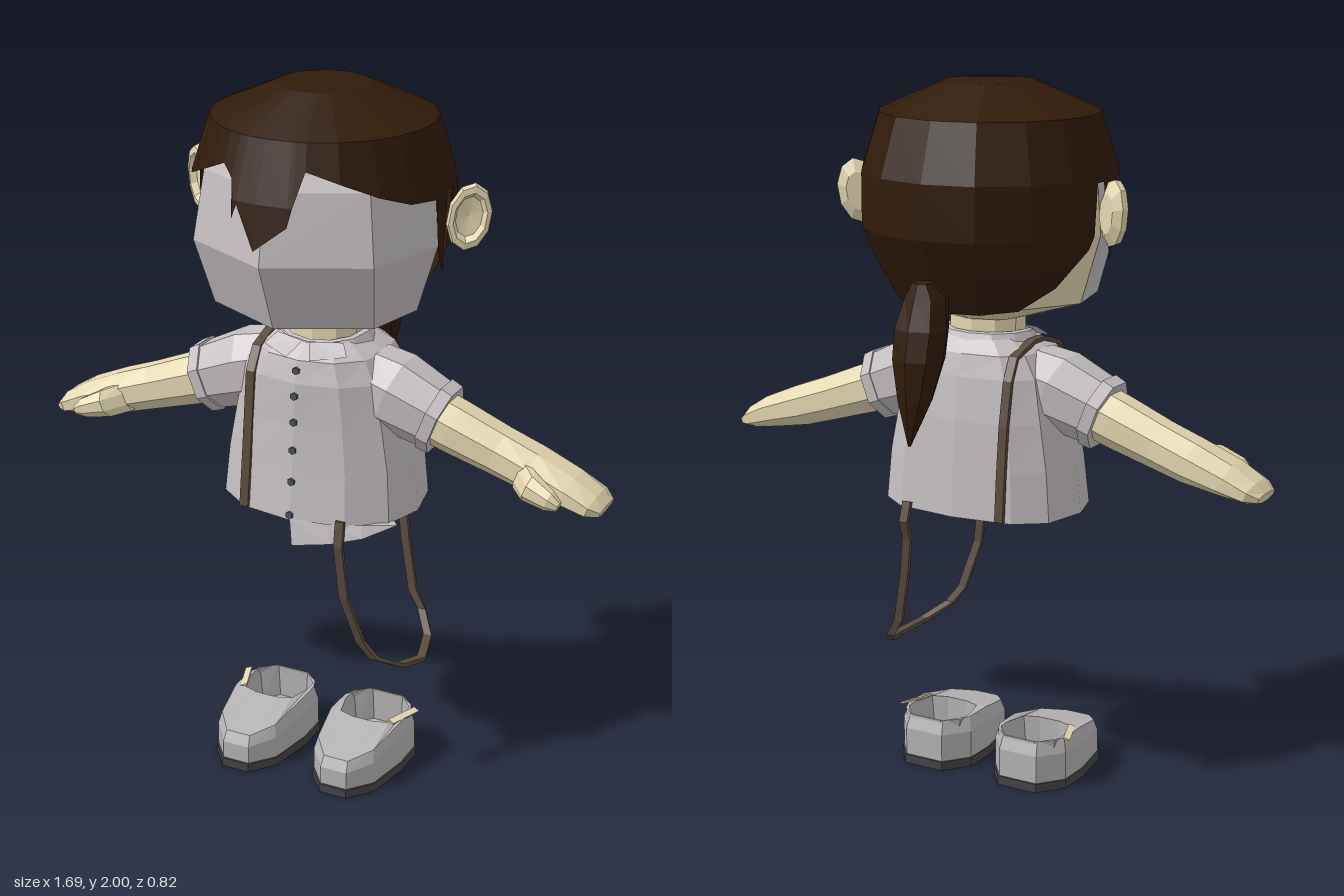
import * as THREE from 'three';

const material = (name, color, side = THREE.FrontSide) => {
  const m = new THREE.MeshStandardMaterial({ color, flatShading: true, side });
  m.name = name;
  return m;
};
const skin = material('skin', 0xe4d7b0);
const cloth = material('pale grey', 0xc4bec0, THREE.DoubleSide);
const hairBrown = material('hair brown', 0x301b09, THREE.DoubleSide);
const strapBrown = material('strap brown', 0x594a3c);
const shoeGrey = material('shoe grey', 0xb6b3b4, THREE.DoubleSide);
const soleDark = material('sole dark', 0x454547);
const buttonDark = material('button dark', 0x4a5062);

// Skin a surface over cross-sections; the winding is turned so faces look outward
function loft(name, mat, rings, { closed = true, capA = false, capB = false } = {}) {
  const n = rings[0].length, pos = rings.flat(2);
  let tris = [];
  for (let i = 0; i < rings.length - 1; i++)
    for (let j = 0; j < (closed ? n : n - 1); j++) {
      const a = i * n + j, b = i * n + (j + 1) % n;
      tris.push([a, b, b + n], [a, b + n, a + n]);
    }
  const cap = (row, flip) => {
    const mid = [0, 1, 2].map(k => rings[row].reduce((s, p) => s + p[k], 0) / n);
    const c = pos.length / 3;
    pos.push(...mid);
    for (let j = 0; j < n; j++) {
      const a = row * n + j, b = row * n + (j + 1) % n;
      tris.push(flip ? [c, b, a] : [c, a, b]);
    }
  };
  if (capA) cap(0, true);
  if (capB) cap(rings.length - 1, false);
  const v = i => new THREE.Vector3().fromArray(pos, i * 3);
  const centre = new THREE.Vector3();
  for (let i = 0; i < pos.length / 3; i++) centre.add(v(i));
  centre.divideScalar(pos.length / 3);
  let volume = 0;
  for (const [a, b, c] of tris)
    volume += v(a).sub(centre).dot(v(b).sub(centre).cross(v(c).sub(centre)));
  if (volume < 0) tris = tris.map(([a, b, c]) => [a, c, b]);
  const geo = new THREE.BufferGeometry();
  geo.setAttribute('position', new THREE.Float32BufferAttribute(pos, 3));
  geo.setIndex(tris.flat());
  geo.computeVertexNormals();
  const mesh = new THREE.Mesh(geo, mat);
  mesh.name = name;
  return mesh;
}

// Piecewise linear lookup; the table is sorted by its first column
function lerpTable(table, t, col = 1) {
  if (t <= table[0][0]) return table[0][col];
  for (let i = 1; i < table.length; i++) {
    const a = table[i - 1], b = table[i];
    if (t <= b[0]) return a[col] + (b[col] - a[col]) * (t - a[0]) / (b[0] - a[0]);
  }
  return table[table.length - 1][col];
}
const rad = THREE.MathUtils.degToRad;
const range = n => Array.from({ length: n }, (_, i) => i);

// Torso sections: height, half width, front z, back z
const TORSO = [[0.81, 0.29, 0.25, -0.18], [0.95, 0.277, 0.232, -0.17], [1.08, 0.252, 0.22, -0.16],
  [1.2, 0.225, 0.213, -0.143], [1.262, 0.185, 0.195, -0.128], [1.298, 0.12, 0.145, -0.09]];
// The back is squarer than the front
const bulge = (v, front) => Math.sign(v) * Math.abs(v) ** (front ? 0.9 : 0.7);
const torsoPoint = (y, angle) => {
  const [w, f, b] = [1, 2, 3].map(c => lerpTable(TORSO, y, c));
  const front = Math.cos(angle) > -1e-6;
  return [w * bulge(Math.sin(angle), front), y, (f + b) / 2 + (f - b) / 2 * bulge(Math.cos(angle), front)];
};

function head() {
  const g = new THREE.Group();
  g.name = 'head';
  // height, front z, cheek x, cheek z, side x, rear x, rear z, back z
  const rows = [[1.35, 0.12, 0.1, 0.09, 0.12, 0.09, -0.05, -0.08], [1.4, 0.335, 0.238, 0.218, 0.28, 0.185, -0.12, -0.2],
    [1.59, 0.41, 0.265, 0.28, 0.338, 0.23, -0.17, -0.28], [1.78, 0.373, 0.242, 0.255, 0.325, 0.22, -0.16, -0.26],
    [1.87, 0.325, 0.205, 0.21, 0.26, 0.18, -0.13, -0.21]];
  g.add(loft('face', cloth, rows.map(([y, f, cx, cz, s]) =>
    [[-s, y, 0.04], [-cx, y, cz], [0, y, f], [cx, y, cz], [s, y, 0.04]]), { closed: false }));
  g.add(loft('backOfHead', skin, rows.map(([y, , , , s, rx, rz, b]) =>
    [[s, y, 0.04], [rx, y, rz], [0, y, b], [-rx, y, rz], [-s, y, 0.04]]), { closed: false }));
  const neck = new THREE.Mesh(new THREE.CylinderGeometry(0.11, 0.11, 0.14, 10), skin);
  neck.name = 'neck';
  neck.position.set(0, 1.3, 0.02);
  neck.scale.z = 0.82;
  g.add(neck);
  // Dished ears
  const profile = [[0, -0.018], [0.6, -0.018], [1, 0], [0.95, 0.018], [0.75, 0.02], [0.6, 0.002], [0, -0.004]]
    .map(([r, h]) => new THREE.Vector2(r * 0.06, h));
  for (const s of [1, -1]) {
    const ear = new THREE.Mesh(new THREE.LatheGeometry(profile, 10).rotateX(Math.PI / 2).scale(1, 1.55, 1), skin);
    ear.name = s > 0 ? 'leftEar' : 'rightEar';
    ear.position.set(s * 0.4, 1.664, -0.016);
    ear.rotation.set(0, s * rad(34), -s * rad(10), 'YXZ');
    g.add(ear);
  }
  return g;
}

function hair() {
  const g = new THREE.Group();
  g.name = 'hair';
  // Hairline: angle from the front, height of the lower edge
  const side = [[33, 1.81], [50, 1.77], [65, 1.74], [81, 1.73], [82, 1.58], [86, 1.525], [91, 1.74], [96, 1.74],
    [98, 1.56], [112, 1.46], [132, 1.4], [156, 1.39]];
  const line = [...side.map(([a, y]) => [-a, y]).reverse(), [-25, 1.83], [-18, 1.8], [-15, 1.7], [-13, 1.74],
    [-3, 1.63], [11, 1.7], [13, 1.75], [18, 1.84], ...side, [180, 1.39]];
  const shape = [[1.39, 0.25], [1.5, 0.31], [1.6, 0.355], [1.75, 0.355], [1.91, 0.305], [1.99, 0.125], [2, 0]];
  const point = (deg, y) => {
    const c = Math.cos(rad(deg));
    const r = Math.abs(deg) < 97 && y < 1.75
      ? 0.355 + (1.75 - y) / 0.15 * 0.025 * Math.max(c, 0) : lerpTable(shape, y);
    return [r * Math.sin(rad(deg)), y, 0.03 + r * c];
  };
  g.add(loft('hairCap', hairBrown, [2, 1.99, 1.91, 1.75, 1.6, 1.5, 1.39].map(row =>
    line.map(([deg, low]) => point(deg, Math.max(row, low))))));
  // Ponytail: height, centre z, half width, half depth
  const tail = [[1.49, -0.315, 0.03, 0.03], [1.45, -0.3, 0.058, 0.062], [1.37, -0.325, 0.078, 0.068],
    [1.29, -0.34, 0.074, 0.07], [1.18, -0.36, 0.048, 0.047], [1.06, -0.39, 0.004, 0.004]];
  g.add(loft('ponytail', hairBrown, tail.map(([y, z, w, d]) => range(8).map(i => {
    const a = i * Math.PI / 4;
    return [w * Math.sin(a), y, z + d * Math.cos(a)];
  })), { capA: true, capB: true }));
  return g;
}

function shirt() {
  const g = new THREE.Group();
  g.name = 'shirt';
  g.add(loft('torso', cloth, TORSO.map(([y]) => range(12).map(i => torsoPoint(y, i * Math.PI / 6)))));
  // Loose front hem
  const angles = [0, 20, 40, 65].map(rad), drop = [0.74, 0.762, 0.782, 0.808];
  g.add(loft('hemFlap', cloth, [angles.map(a => torsoPoint(0.815, a)), angles.map((a, i) => {
    const [x, , z] = torsoPoint(0.81, a);
    return [x + 0.012, drop[i], z + 0.012];
  })], { closed: false }));
  // Collar band and two points
  g.add(loft('collar', cloth, [[1.315, 0.115, 0.1], [1.312, 0.13, 0.112], [1.277, 0.148, 0.128]].map(([y, w, d]) =>
    range(12).map(i => {
      const a = i * Math.PI / 6;
      return [w * Math.sin(a), y - 0.015 * Math.max(0, Math.cos(a)), 0.025 + d * Math.cos(a)];
    }))));
  for (const s of [1, -1])
    g.add(loft('collarPoint', cloth, [[[s * 0.01, 1.3, 0.145], [s * 0.1, 1.303, 0.118]],
      [[s * 0.035, 1.266, 0.196], [s * 0.125, 1.276, 0.15]]], { closed: false }));
  // Buttons
  for (const y of [1.235, 1.165, 1.09, 1.01, 0.92, 0.825]) {
    const button = new THREE.Mesh(new THREE.CylinderGeometry(0.011, 0.011, 0.008, 6).rotateX(Math.PI / 2), buttonDark);
    button.name = 'button';
    button.position.set(0, y, torsoPoint(y, 0)[2] + 0.002);
    g.add(button);
  }
  return g;
}

// Eight-sided section across the slanted arm: x, y, z, half height, half depth
const armRing = s => ([x, y, z, h, d]) => range(8).map(i => {
  const a = (i + 0.5) * Math.PI / 4, up = h * 1.08 * Math.cos(a);
  return [s * (x + 0.36 * up), y + 0.93 * up, z + d * 1.08 * Math.sin(a)];
});

function arm(s) {
  const g = new THREE.Group();
  g.name = s > 0 ? 'leftArm' : 'rightArm';
  const ring = armRing(s), caps = { capA: true, capB: true };
  g.add(loft('sleeve', cloth, [[0.14, 1.18, 0.03, 0.095, 0.1], [0.22, 1.155, 0.035, 0.105, 0.105],
    [0.365, 1.1, 0.04, 0.09, 0.085]].map(ring)));
  g.add(loft('cuff', cloth, [[0.338, 1.111, 0.04, 0.08, 0.075], [0.335, 1.112, 0.04, 0.1, 0.094],
    [0.368, 1.098, 0.04, 0.097, 0.091], [0.366, 1.099, 0.04, 0.07, 0.07]].map(ring)));
  g.add(loft('forearmAndHand', skin, [[0.3, 1.122, 0.04, 0.072, 0.072], [0.4, 1.086, 0.04, 0.071, 0.072],
    [0.53, 1.04, 0.038, 0.064, 0.068], [0.63, 1.007, 0.038, 0.06, 0.073], [0.74, 0.974, 0.042, 0.047, 0.08],
    [0.81, 0.948, 0.045, 0.032, 0.076], [0.84, 0.936, 0.045, 0.015, 0.052]].map(ring), caps));
  g.add(loft('thumb', skin, [[0.605, 1.005, 0.08, 0.042, 0.03], [0.65, 0.995, 0.128, 0.04, 0.036],
    [0.715, 0.975, 0.147, 0.028, 0.024], [0.744, 0.963, 0.148, 0.014, 0.014]].map(ring), caps));
  return g;
}

// Flat ribbon along a path, its width lying along x
function ribbon(name, path) {
  return loft(name, strapBrown, path.map((p, i) => {
    const a = path[Math.max(i - 1, 0)], b = path[Math.min(i + 1, path.length - 1)];
    const ty = b[1] - a[1], tz = b[2] - a[2], l = Math.hypot(ty, tz) / 0.006;
    const ny = -tz / l, nz = ty / l;
    return [[-1, -1], [1, -1], [1, 1], [-1, 1]].map(([u, v]) =>
      [p[0] + u * 0.013, p[1] + v * ny, p[2] + v * nz]);
  }), { capA: true, capB: true });
}

function strap() {
  const g = new THREE.Group();
  g.name = 'strap';
  const onTorso = dir => [0.815, 0.95, 1.08, 1.2, 1.26].map(y => {
    const a = Math.asin((0.15 / lerpTable(TORSO, y)) ** (1 / (dir > 0 ? 0.9 : 0.7)));
    return [-0.15, y, torsoPoint(y, dir > 0 ? a : Math.PI - a)[2] + dir * 0.006];
  });
  g.add(ribbon('shoulderStrap', [...onTorso(1), [-0.15, 1.288, 0.06], [-0.15, 1.288, 0], ...onTorso(-1).reverse()]));
  g.add(ribbon('hangingStrap', [[0.148, 0.83, 0.235], [0.15, 0.76, 0.25], [0.163, 0.6, 0.24], [0.2, 0.46, 0.21],
    [0.235, 0.41, 0.195], [0.285, 0.368, 0.13], [0.311, 0.352, 0.04], [0.285, 0.368, -0.06], [0.235, 0.41, -0.13],
    [0.2, 0.46, -0.142], [0.165, 0.62, -0.16], [0.152, 0.72, -0.168], [0.15, 0.775, -0.188], [0.148, 0.83, -0.172]]));
  return g;
}

function shoe(s) {
  const g = new THREE.Group();
  g.name = s > 0 ? 'leftShoe' : 'rightShoe';
  const half = [[0.042, 0.3], [0.098, 0.23], [0.121, 0.09], [0.119, -0.01], [0.062, -0.085]];
  const outline = [...half, ...half.map(([x, z]) => [-x, z]).reverse()];
  const ring = (k, height) => outline.map(([x, z]) =>
    [s * 0.157 + x * k, height(z), 0.1 + (z - 0.1) * k]);
  const top = z => 0.148 - Math.max(0, z - 0.13) * 0.23;
  g.add(loft('sole', soleDark, [ring(1, () => 0), ring(1, () => 0.026)], { capA: true, capB: true }));
  // Ankle opening, kept behind the toe cap
  const opening = (k, y) => outline.map(([x, z]) => [s * 0.157 + x * k, y, Math.min(z * 0.5, 0.13) - 0.025]);
  g.add(loft('upper', shoeGrey, [ring(0.97, () => 0.026), ring(0.97, z => top(z) * 0.72),
    ring(0.89, top), opening(0.78, 0.147), opening(0.7, 0.045)], { capB: true }));
  // Thin sliver of ankle at the outer rim
  const sliver = new THREE.Mesh(new THREE.BoxGeometry(0.02, 0.005, 0.105), skin);
  sliver.name = 'ankleSliver';
  sliver.position.set(s * 0.258, 0.149, 0.04);
  sliver.rotation.set(0, -s * 0.35, -s * 0.3);
  g.add(sliver);
  return g;
}

export function createModel() {
  const model = new THREE.Group();
  model.name = 'child';
  model.add(head(), hair(), shirt(), strap(), arm(1), arm(-1), shoe(1), shoe(-1));
  return model;
}
